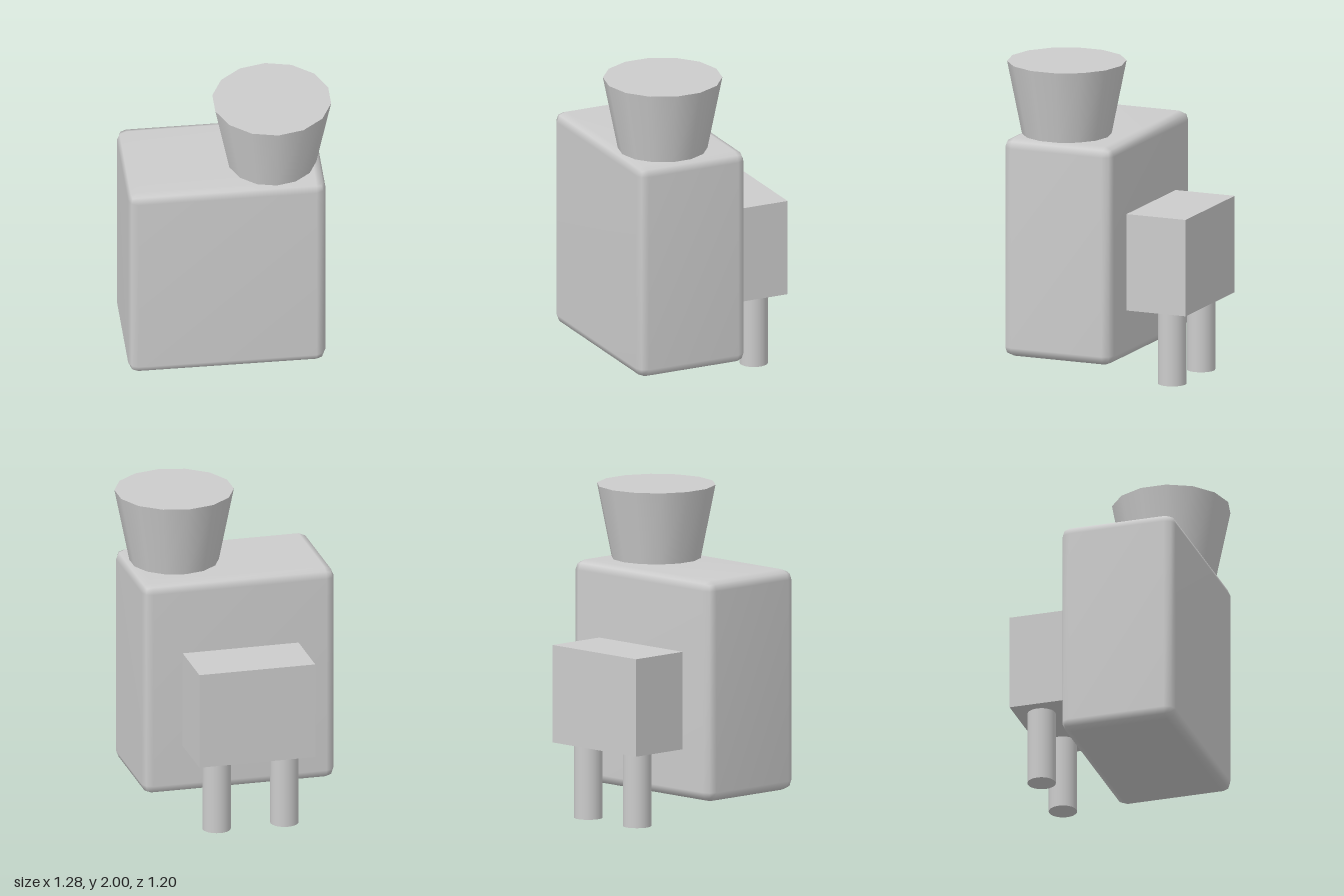
import * as THREE from 'three';
import { RoundedBoxGeometry } from 'three/addons/geometries/RoundedBoxGeometry.js';
import { mergeVertices } from 'three/addons/utils/BufferGeometryUtils.js';

export function createModel() {
  const model = new THREE.Group();
  const grey = new THREE.MeshStandardMaterial({ color: 0xcccccc });
  grey.name = 'plain grey';

  const add = (name, geometry, x, y, z) => {
    const mesh = new THREE.Mesh(geometry, grey);
    mesh.name = name;
    mesh.position.set(x, y, z);
    model.add(mesh);
  };

  // Main body: bevelled block with normals smoothed across the bevel
  let body = new RoundedBoxGeometry(1.226, 1.38, 0.735, 1, 0.06);
  body.deleteAttribute('normal');
  body.deleteAttribute('uv');
  body = mergeVertices(body, 1e-4);
  body.computeVertexNormals();
  add('body', body, -0.027, 0.85, 0.167);

  // Flared 14-sided hopper on top
  add('hopper', new THREE.CylinderGeometry(0.369, 0.277, 0.46, 14), 0.28, 1.77, 0.23);

  // Box on the back
  add('rearBox', new THREE.BoxGeometry(0.74, 0.61, 0.41), -0.03, 0.775, -0.395);

  // Two prongs under the rear box
  for (const [name, x] of [['leftProng', 0.188], ['rightProng', -0.245]]) {
    add(name, new THREE.CylinderGeometry(0.088, 0.088, 0.48, 24), x, 0.24, -0.442);
  }

  return model;
}
